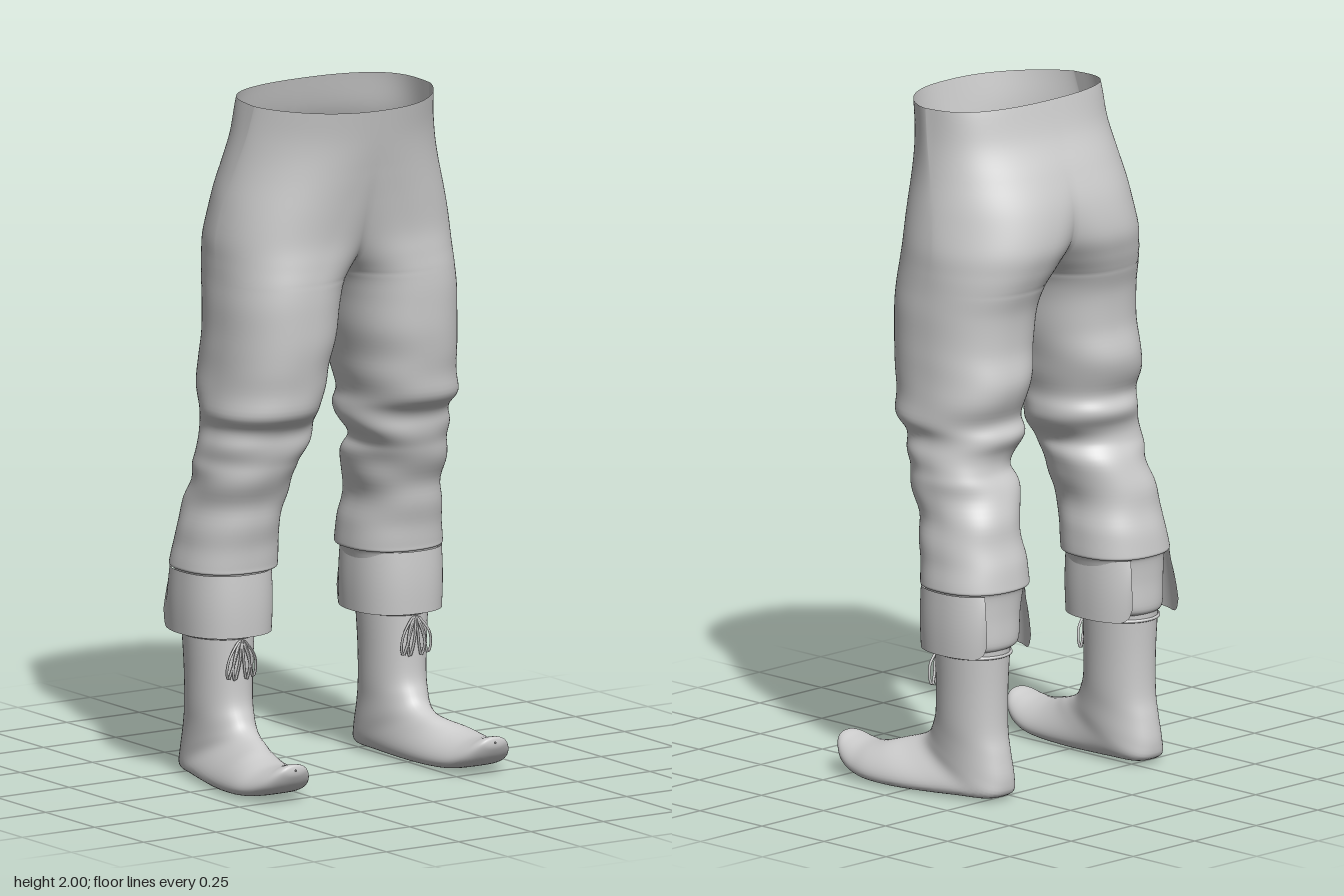
import * as THREE from 'three';
import { mergeGeometries, mergeVertices } from 'three/addons/utils/BufferGeometryUtils.js';

const cloth = new THREE.MeshStandardMaterial({ color: 0xcccccc, side: THREE.DoubleSide });
cloth.name = 'light grey';

// Smoothly subdivides a table of cross-sections (Catmull-Rom on each column)
function refine(table, sub) {
  const rows = [], last = table.length - 1;
  const at = i => table[Math.min(last, Math.max(0, i))];
  for (let i = 0; i < last; i++) {
    for (let k = 0; k < sub; k++) {
      const f = k / sub, [a, b, c, d] = [at(i - 1), at(i), at(i + 1), at(i + 2)];
      rows.push(b.map((_, n) => b[n] + 0.5 * f * (c[n] - a[n] +
        f * (2 * a[n] - 5 * b[n] + 4 * c[n] - d[n] + f * (3 * (b[n] - c[n]) + d[n] - a[n])))));
    }
  }
  rows.push(table[last]);
  return rows;
}

// Skins a list of point loops
function skin(loops) {
  const n = loops[0].length, index = [];
  for (let i = 0; i < loops.length - 1; i++) {
    for (let j = 0; j < n - 1; j++) {
      const a = i * n + j, c = a + n;
      index.push(a, a + 1, c, a + 1, c + 1, c);
    }
  }
  const g = new THREE.BufferGeometry();
  g.setAttribute('position', new THREE.Float32BufferAttribute(loops.flat(2), 3));
  g.setIndex(index);
  return g;
}

function smooth(g) {
  const m = mergeVertices(g, 1e-5);
  m.computeVertexNormals();
  return m;
}

// Copy on the other side of x = 0, with the winding flipped
function mirrored(geometry) {
  const g = geometry.clone().scale(-1, 1, 1), ix = g.index.array;
  for (let i = 0; i < ix.length; i += 3) [ix[i], ix[i + 1]] = [ix[i + 1], ix[i]];
  if (g.attributes.normal) g.computeVertexNormals();
  return g;
}

const { smoothstep } = THREE.MathUtils;
const bump = (y, centre, width) => Math.exp(-(((y - centre) / width) ** 2));
const power = (v, p) => Math.sign(v) * Math.abs(v) ** p;
const SQ = 0.87; // slightly squared ovals

// Trousers: y, outer x, inner x, front z, back z. A negative inner x means the
// two halves join at the middle; the crotch is where it reaches zero.
const TROUSERS = [
  [2.00, 0.302, -0.302, 0.245, -0.180],
  [1.90, 0.316, -0.308, 0.228, -0.205],
  [1.80, 0.335, -0.260, 0.210, -0.248],
  [1.70, 0.357, -0.190, 0.192, -0.282],
  [1.60, 0.373, -0.115, 0.178, -0.295],
  [1.53, 0.376, -0.050, 0.178, -0.280],
  [1.47, 0.378, 0.000, 0.180, -0.260],
  [1.40, 0.382, 0.022, 0.180, -0.240],
  [1.30, 0.384, 0.035, 0.175, -0.235],
  [1.20, 0.390, 0.058, 0.163, -0.247],
  [1.10, 0.396, 0.073, 0.143, -0.220],
  [1.05, 0.388, 0.080, 0.112, -0.225],
  [1.00, 0.402, 0.090, 0.098, -0.203],
  [0.95, 0.392, 0.118, 0.077, -0.212],
  [0.90, 0.400, 0.115, 0.065, -0.235],
  [0.80, 0.407, 0.145, 0.030, -0.262],
  [0.70, 0.422, 0.140, 0.010, -0.287],
  [0.635, 0.433, 0.136, 0.002, -0.298],
  [0.618, 0.433, 0.138, 0.000, -0.298],
  [0.608, 0.420, 0.152, -0.012, -0.285],
  [0.54, 0.416, 0.165, -0.015, -0.280],
  [0.46, 0.410, 0.175, -0.020, -0.280],
  [0.44, 0.395, 0.205, -0.042, -0.266],
];

function trouserGeometry() {
  const N = 72;
  const loops = refine(TROUSERS, 6).map(([y, outer, inner, front, back]) => {
    if (Math.abs(inner) < 1e-6) inner = 0;
    const cx = (outer + inner) / 2, rx = (outer - inner) / 2;
    const cz = (front + back) / 2, rz = (front - back) / 2;
    const end = inner < 0 ? Math.acos(-(Math.max(0, cx / rx) ** (1 / SQ))) : Math.PI;
    // pointed belly, rounded seat, flat back of the waist
    const belly = SQ + 0.6 * smoothstep(y, 1.58, 1.95);
    const seat = SQ + 0.35 * bump(y, 1.63, 0.13) - 0.28 * smoothstep(y, 1.78, 2);
    const env = bump(y, 0.95, 0.2) * smoothstep(y, 0.63, 0.72);
    const loop = [];
    for (let j = 0; j <= N; j++) {
      const t = end * (2 * j / N - 1);
      // slanting folds around the knee and calf
      const fold = 1 + env * (0.045 * Math.sin(34 * y + 2.2 * Math.cos(t - 0.7)) +
        0.018 * Math.sin(55 * y - 2 * Math.sin(t + 0.4)));
      const joined = (j === 0 || j === N) && inner <= 0;
      const x = joined ? 0 : cx + rx * power(Math.cos(t), SQ) * fold;
      const s = Math.abs(Math.sin(t)) < 1e-9 ? 0 : power(Math.sin(t), t > 0 ? belly : seat);
      const tilt = 0.01 * (1 + s) * Math.max(0, (y - 1.8) / 0.2);
      loop.push([x, y - tilt, cz + rz * s * fold]);
    }
    return loop;
  });
  const half = skin(loops);
  return smooth(mergeGeometries([half, mirrored(half)]));
}

// Boot: front z, front y, back z, back y, centre x, half width, sole flatness.
// The sections turn from level at the shaft to upright at the toe.
const BOOT = [
  [-0.040, 0.450, -0.270, 0.450, 0.300, 0.100, 0],
  [-0.040, 0.330, -0.265, 0.320, 0.300, 0.092, 0],
  [-0.036, 0.240, -0.268, 0.200, 0.300, 0.088, 0],
  [-0.020, 0.195, -0.283, 0.130, 0.300, 0.085, 0],
  [0.000, 0.165, -0.295, 0.055, 0.300, 0.085, 0.1],
  [0.035, 0.145, -0.277, 0.012, 0.303, 0.085, 0.4],
  [0.075, 0.132, -0.170, 0.006, 0.315, 0.092, 0.7],
  [0.115, 0.120, 0.000, 0.002, 0.335, 0.104, 0.9],
  [0.160, 0.108, 0.120, 0.004, 0.345, 0.105, 0.9],
  [0.210, 0.102, 0.195, 0.012, 0.345, 0.096, 0.8],
  [0.255, 0.107, 0.252, 0.028, 0.345, 0.080, 0.5],
  [0.285, 0.115, 0.285, 0.050, 0.345, 0.060, 0.2],
  [0.303, 0.115, 0.305, 0.080, 0.345, 0.036, 0],
  [0.308, 0.103, 0.309, 0.098, 0.345, 0.003, 0],
];

function bootGeometry() {
  const N = 48;
  return smooth(skin(refine(BOOT, 5).map(([fz, fy, bz, by, cx, hw, flat]) => {
    const loop = [];
    for (let j = 0; j <= N; j++) {
      const t = (j % N) / N * Math.PI * 2;
      const s = Math.max(0, (1 + Math.sin(t)) / 2) ** (1 + flat);
      loop.push([cx + hw * power(Math.cos(t), 0.95), by + (fy - by) * s, bz + (fz - bz) * s]);
    }
    return loop;
  })));
}

// Turned-up cuff, split at the back with two flared, round-cornered flaps
function cuffGeometry() {
  const N = 96, ROWS = 10, t0 = -1.0, t1 = 4.17, loops = [];
  for (let i = 0; i <= ROWS; i++) {
    const s = i / ROWS, loop = [];
    for (let j = 0; j <= N; j++) {
      const t = t0 + (t1 - t0) * j / N;
      const corner = Math.max(0, 1 - Math.min(t - t0, t1 - t) / 0.3);
      const bottom = 0.43 + 0.045 * (1 - Math.sqrt(1 - corner * corner));
      const flare = 0.19 * Math.exp(-(t - t0) / 0.3) + 0.14 * Math.exp(-(t1 - t) / 0.2);
      const r = 1 + 0.02 * Math.sin(s * Math.PI) + s * flare;
      loop.push([0.294 + 0.136 * power(Math.cos(t), SQ) * r, 0.613 + (bottom - 0.613) * s,
        -0.15 + 0.148 * power(Math.sin(t), SQ) * r]);
    }
    loops.push(loop);
  }
  return smooth(skin(loops));
}

// Cord around the top of the boot
function cordGeometry() {
  const pts = [];
  for (let j = 0; j < 24; j++) {
    const t = j / 24 * Math.PI * 2;
    pts.push(new THREE.Vector3(0.3 + 0.101 * Math.cos(t), 0.424, -0.155 + 0.117 * Math.sin(t)));
  }
  return new THREE.TubeGeometry(new THREE.CatmullRomCurve3(pts, true), 64, 0.005, 6, true);
}

// Hanging loops and ends of the tied cord
function tasselGeometry() {
  const strands = [[-0.04, 0.305, 0.011], [-0.018, 0.3, 0.01], [0.022, 0.3, 0.01], [0.044, 0.305, 0.011]];
  return mergeGeometries(strands.map(([dx, low, w]) => {
    const p = (x, y, z) => new THREE.Vector3(0.3 + x, y, z);
    const curve = new THREE.CatmullRomCurve3([
      p(dx * 0.15, 0.415, -0.034), p(dx * 0.75 - w, 0.37, -0.03), p(dx - w * 0.7, low + 0.02, -0.034),
      p(dx, low, -0.036), p(dx + w * 0.7, low + 0.02, -0.033), p(dx * 0.75 + w, 0.37, -0.029),
    ], true);
    return new THREE.TubeGeometry(curve, 32, 0.004, 5, true);
  }));
}

export function createModel() {
  const model = new THREE.Group();
  model.name = 'trousersAndBoots';
  const add = (name, geometry) => {
    const mesh = new THREE.Mesh(geometry, cloth);
    mesh.name = name;
    model.add(mesh);
  };
  add('trousers', trouserGeometry());
  const parts = { Boot: bootGeometry(), Cuff: cuffGeometry(), Cord: cordGeometry(), Tassels: tasselGeometry() };
  for (const [name, geometry] of Object.entries(parts)) {
    add('left' + name, geometry);
    add('right' + name, mirrored(geometry));
  }
  return model;
}
